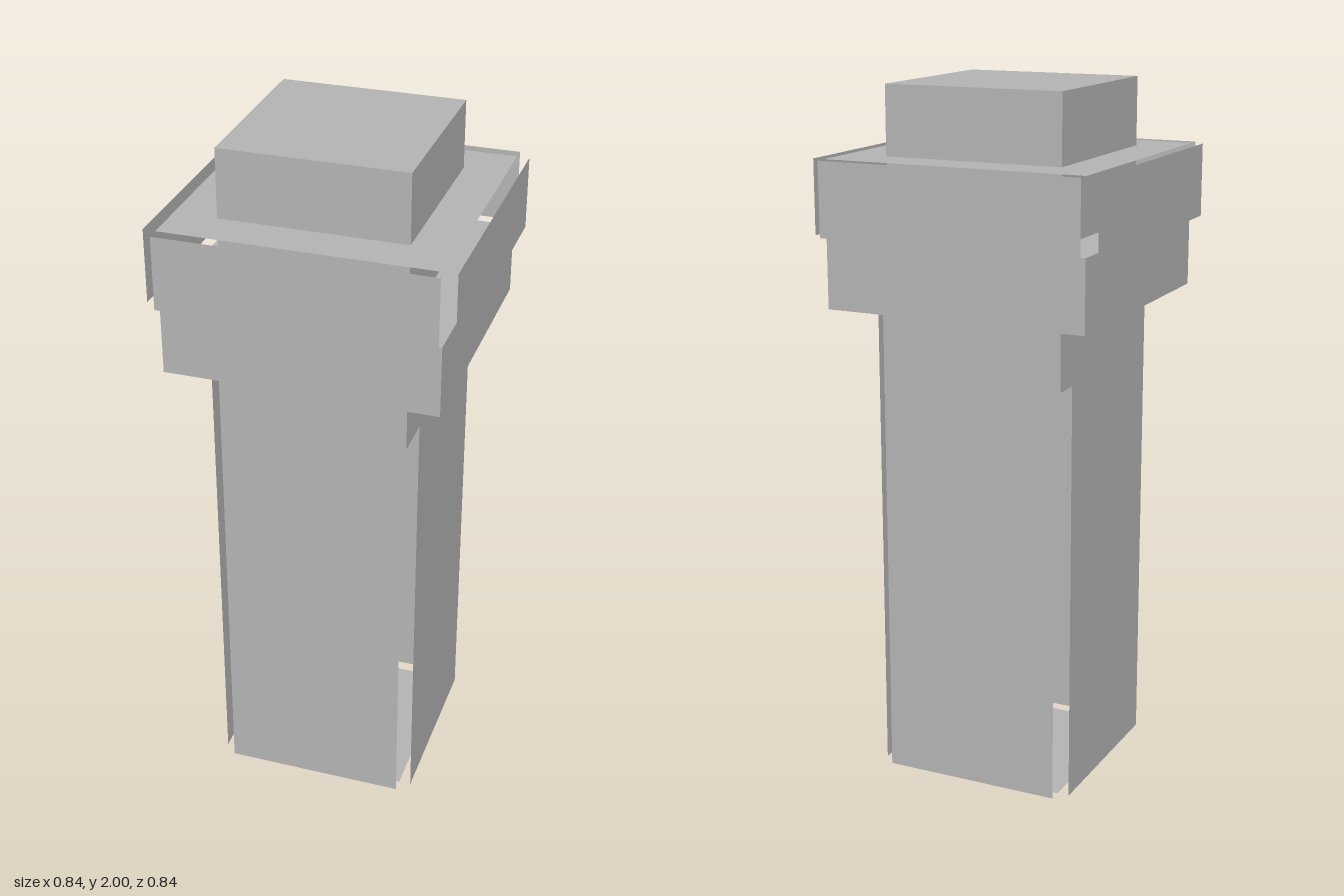
import * as THREE from 'three';

const SHAFT = 0.2625; // half width of the shaft and post
const COLLAR = 0.385; // half width of the collar
const GAP = 0.035;    // how far the loose side panels stand off

export function createModel() {
  const model = new THREE.Group();
  const grey = new THREE.MeshStandardMaterial({ color: 0xb2b2b2, side: THREE.DoubleSide });
  grey.name = 'grey';

  // Closed square block between two heights
  function block(name, half, y0, y1) {
    const mesh = new THREE.Mesh(new THREE.BoxGeometry(half * 2, y1 - y0, half * 2), grey);
    mesh.name = name;
    mesh.position.y = (y0 + y1) / 2;
    model.add(mesh);
  }

  // Four flat panels standing off around a square, with open corners
  function panels(name, half, y0, y1) {
    const group = new THREE.Group();
    group.name = name;
    for (let i = 0; i < 4; i++) {
      const geometry = new THREE.PlaneGeometry(half * 2, y1 - y0);
      geometry.translate(0, (y0 + y1) / 2, half + GAP);
      geometry.rotateY(i * Math.PI / 2);
      const mesh = new THREE.Mesh(geometry, grey);
      mesh.name = name + 'Side' + (i + 1);
      group.add(mesh);
    }
    model.add(group);
  }

  // Flat horizontal plate; facing is 1 for up, -1 for down
  function plate(name, half, y, facing) {
    const geometry = new THREE.PlaneGeometry(half * 2, half * 2);
    geometry.rotateX(-facing * Math.PI / 2);
    const mesh = new THREE.Mesh(geometry, grey);
    mesh.name = name;
    mesh.position.y = y;
    model.add(mesh);
  }

  // Hollow shaft with its base
  plate('shaftBase', SHAFT, 0, -1);
  panels('shaftPanels', SHAFT, 0, 1.39);

  // Collar: solid lower ring, panelled upper ring with a lid
  block('lowerCollar', COLLAR, 1.39, 1.594);
  panels('upperCollarPanels', COLLAR, 1.594, 1.804);
  plate('upperCollarLid', COLLAR, 1.804, 1);

  // Solid post running from inside the shaft up through the collar
  block('post', SHAFT, 1.195, 2);

  return model;
}
